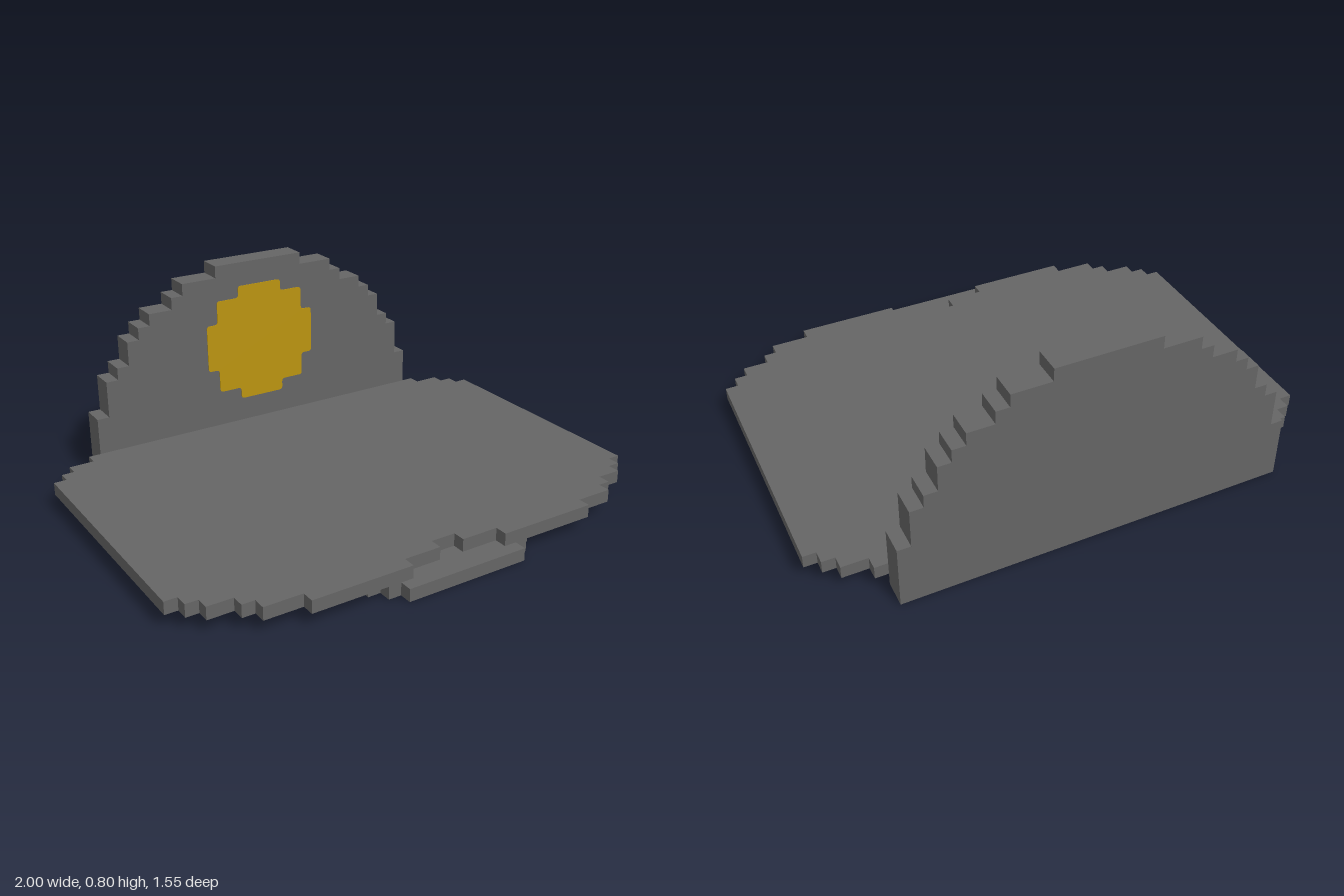
import * as THREE from 'three';

// Stair-step outline from [outer level, half width] rows, starting at level y0
function steps(y0, rows) {
  const pts = [];
  let y = y0;
  for (const [top, half] of rows) {
    pts.push([half, y], [half, top]);
    y = top;
  }
  return pts;
}

// Mirror a right-hand outline across x = 0; radius softens the corners
function mirroredShape(half, radius = 0) {
  const all = [...half, ...half.map(([x, y]) => [-x, y]).reverse()]
    .map(([x, y]) => new THREE.Vector2(x, y));
  const pts = all.filter((p, i) => p.distanceTo(all[(i + 1) % all.length]) > 1e-6);
  if (!radius) return new THREE.Shape(pts);
  const shape = new THREE.Shape();
  pts.forEach((p, i) => {
    const prev = pts[(i + pts.length - 1) % pts.length];
    const next = pts[(i + 1) % pts.length];
    const a = p.clone().add(prev.clone().sub(p).setLength(radius));
    const b = p.clone().add(next.clone().sub(p).setLength(radius));
    if (i === 0) shape.moveTo(a.x, a.y);
    else shape.lineTo(a.x, a.y);
    shape.quadraticCurveTo(p.x, p.y, b.x, b.y);
  });
  shape.closePath();
  return shape;
}

const extrude = (shape, depth) =>
  new THREE.ExtrudeGeometry(shape, { depth, bevelEnabled: false, curveSegments: 4 });

export function createModel() {
  const group = new THREE.Group();
  const gray = new THREE.MeshStandardMaterial({ color: 0x656565 });
  gray.name = 'dark gray';
  const gold = new THREE.MeshStandardMaterial({ color: 0xbb9410 });
  gold.name = 'gold';

  const add = (name, geometry, material) => {
    const mesh = new THREE.Mesh(geometry, material);
    mesh.name = name;
    group.add(mesh);
  };
  // Horizontal layer: outline y becomes z, top face at the given height
  const layer = (name, half, top, depth) =>
    add(name, extrude(mirroredShape(half), depth).rotateX(Math.PI / 2).translate(0, top, 0), gray);

  // Upright stepped dome at the back
  const wall = steps(0, [
    [0.25, 0.75], [0.4, 0.7], [0.45, 0.65], [0.55, 0.6], [0.6, 0.55],
    [0.65, 0.5], [0.7, 0.4], [0.75, 0.35], [0.8, 0.2],
  ]);
  add('backWall', extrude(mirroredShape(wall), 0.1).translate(0, 0, -0.775), gray);

  // Wide plate with a stepped notch in its front edge
  const plate = steps(-0.675, [
    [-0.625, 0.8], [-0.575, 0.9], [-0.525, 0.95], [0.475, 1], [0.525, 0.95],
    [0.575, 0.9], [0.625, 0.8], [0.675, 0.75], [0.725, 0.6],
  ]);
  plate.push([0.2, 0.725], [0.2, 0.675], [0.05, 0.675], [0.05, 0.625]);
  layer('plate', plate, 0.1, 0.05);

  // Stepped oval foot under the plate, cut off by the wall
  const oval = [
    [0.2, 0.75], [0.35, 0.7], [0.4, 0.65], [0.5, 0.6], [0.55, 0.55],
    [0.6, 0.5], [0.65, 0.4], [0.7, 0.35], [0.75, 0.3], [0.8, 0.25],
  ];
  const centre = -0.025;
  const front = steps(0, oval).map(([x, z]) => [x, centre + z]);
  const back = steps(0, oval.slice(0, 7)).map(([x, z]) => [x, centre - z]).reverse();
  layer('foot', [...back.slice(0, -1), ...front.slice(1)], 0.05, 0.05);

  // Gold medallion on the wall
  const medallion = steps(0.2, [[0.25, 0.1], [0.35, 0.2], [0.55, 0.25], [0.65, 0.2], [0.7, 0.1]]);
  add('medallion', extrude(mirroredShape(medallion, 0.014), 0.003).translate(0, 0, -0.675), gold);

  return group;
}
